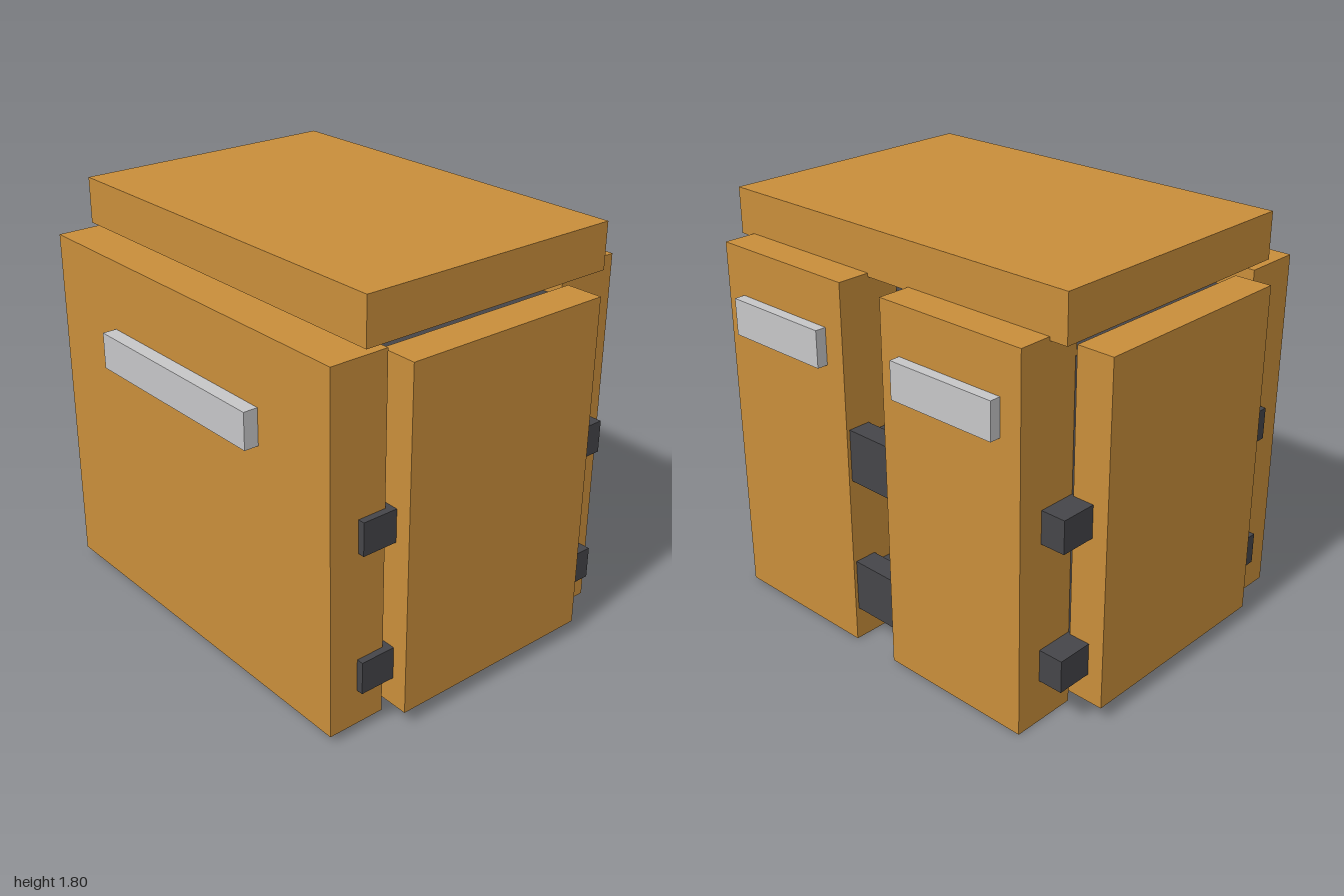
import * as THREE from 'three';

export function createModel() {
  const model = new THREE.Group();
  const mat = (name, color) => {
    const m = new THREE.MeshStandardMaterial({ color });
    m.name = name;
    return m;
  };
  const tan = mat('tan', 0xc98e3b);
  const charcoal = mat('charcoal', 0x454549);
  const silver = mat('silver', 0xc6c6c8);

  // Box given by its limits along each axis
  const box = (name, material, [x0, x1], [y0, y1], [z0, z1]) => {
    const mesh = new THREE.Mesh(new THREE.BoxGeometry(x1 - x0, y1 - y0, z1 - z0), material);
    mesh.position.set((x0 + x1) / 2, (y0 + y1) / 2, (z0 + z1) / 2);
    mesh.name = name;
    model.add(mesh);
  };
  // Same box on the left (+x) and the right (-x)
  const pair = (name, material, [x0, x1], y, z) => {
    box(name + 'Left', material, [x0, x1], y, z);
    box(name + 'Right', material, [-x1, -x0], y, z);
  };

  // Dark inner body
  box('core', charcoal, [-0.84, 0.84], [0.165, 1.5], [-0.49, 0.465]);

  // Outer blocks
  box('lid', tan, [-0.9, 0.9], [1.6, 1.8], [-0.63, 0.6]);
  box('frontBlock', tan, [-0.9, 0.9], [0.035, 1.58], [0.5, 0.76]);
  pair('sideBlock', tan, [0.835, 1], [0.065, 1.55], [-0.5, 0.47]);
  pair('backBlock', tan, [0.113, 0.82], [0, 1.615], [-0.775, -0.483]);

  // Straps around the body, each with a wide connector at the back
  [0.262, 0.873].forEach((y) => {
    box('strap', charcoal, [-0.93, 0.93], [y - 0.071, y + 0.071], [-0.66, 0.628]);
    box('backConnector', charcoal, [-0.15, 0.15], [y - 0.115, y + 0.115], [-0.76, -0.66]);
  });

  // Raised plates on the front and back
  box('frontPlate', silver, [-0.485, 0.485], [1.12, 1.277], [0.75, 0.823]);
  pair('backPlate', silver, [0.21, 0.722], [1.246, 1.406], [-0.823, -0.765]);

  return model;
}
